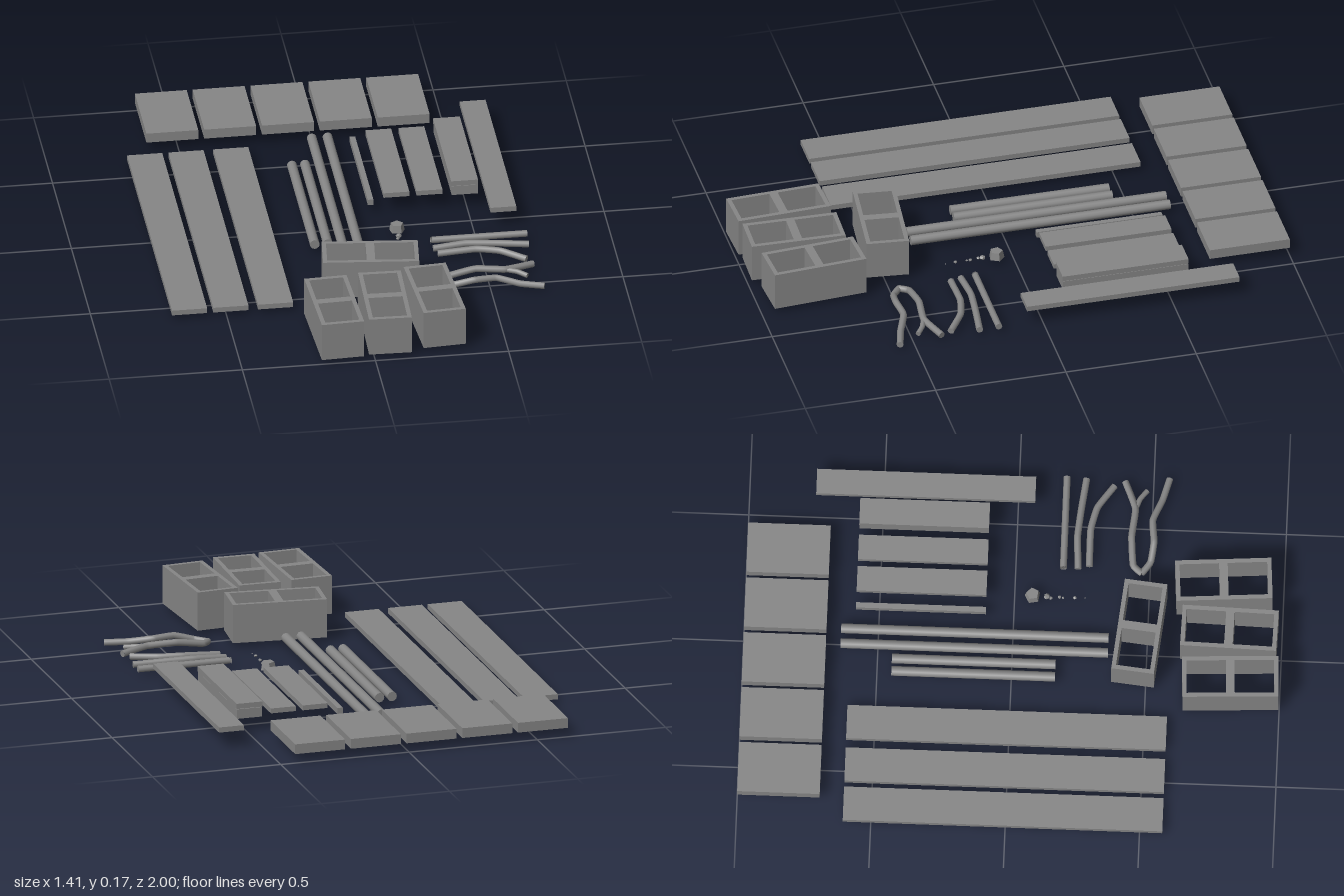
import * as THREE from 'three';

const COLOR = 0x868686;
const mat = new THREE.MeshStandardMaterial({ color: COLOR, flatShading: true });
const smooth = new THREE.MeshStandardMaterial({ color: COLOR });

export function createModel() {
  const model = new THREE.Group();
  const add = (name, geometry, material = mat, parent = model) => {
    const mesh = new THREE.Mesh(geometry, material);
    mesh.name = name;
    parent.add(mesh);
    return mesh;
  };
  // Box given by its extents on each axis
  const box = (name, x0, x1, y0, y1, z0, z1) =>
    add(name, new THREE.BoxGeometry(x1 - x0, y1 - y0, z1 - z0))
      .position.set((x0 + x1) / 2, (y0 + y1) / 2, (z0 + z1) / 2);

  // Row of wide slabs along the back
  for (let i = 0; i < 5; i++) {
    const x = -0.62 + i * 0.2172;
    box('slab', x, x + 0.195, 0.035, 0.073, -1, -0.693);
  }

  // Three long planks
  for (const x of [-0.705, -0.55, -0.382]) box('longPlank', x, x + 0.132, 0.017, 0.037, -0.604, 0.585);

  // Round poles, two short and two long
  for (const [x, z0, z1] of [[-0.109, -0.446, 0.163], [-0.06, -0.446, 0.163], [-0.007, -0.639, 0.356], [0.052, -0.639, 0.356]]) {
    const pole = add('pole', new THREE.CylinderGeometry(0.0185, 0.0185, z1 - z0, 12), smooth);
    pole.rotation.x = Math.PI / 2;
    pole.position.set(x, 0.037, (z0 + z1) / 2);
  }

  // Short boards, a thin batten, a stacked pair and a side plank
  box('batten', 0.128, 0.149, 0.037, 0.06, -0.587, -0.104);
  box('shortBoard', 0.187, 0.284, 0.064, 0.083, -0.587, -0.104);
  box('shortBoard', 0.311, 0.408, 0.064, 0.083, -0.587, -0.104);
  box('stackBase', 0.443, 0.541, 0.055, 0.092, -0.586, -0.105);
  box('stackTop', 0.441, 0.542, 0.094, 0.114, -0.587, -0.104);
  box('sidePlank', 0.565, 0.662, 0.064, 0.084, -0.752, 0.063);

  // Hollow blocks with two open cells
  const W = 0.08, L = 0.179, T = 0.016, WEB = 0.016;
  const rect = (Type, x0, x1, y0, y1) => {
    const s = new Type();
    s.moveTo(x0, y0);
    s.lineTo(x1, y0);
    s.lineTo(x1, y1);
    s.lineTo(x0, y1);
    s.closePath();
    return s;
  };
  const outline = rect(THREE.Shape, -W, W, -L, L);
  outline.holes.push(rect(THREE.Path, -W + T, W - T, WEB, L - T), rect(THREE.Path, -W + T, W - T, -L + T, -WEB));
  const blockGeometry = new THREE.ExtrudeGeometry(outline, { depth: 0.149, bevelEnabled: false });
  blockGeometry.rotateX(-Math.PI / 2);
  for (const [x, z, turn] of [[-0.129, 0.816, 0.044], [0.063, 0.805, -0.026], [0.254, 0.777, 0.07], [0.056, 0.47, 1.467]]) {
    const block = add('hollowBlock', blockGeometry);
    block.position.set(x, 0.017, z);
    block.rotation.y = turn;
  }

  // Sticks with tight bends: tubes with capped ends
  const stick = (name, r, points) => {
    const pts = points.map(p => new THREE.Vector3(...p));
    const curve = new THREE.CatmullRomCurve3(pts, false, 'catmullrom', 0.2);
    const group = new THREE.Group();
    group.name = name;
    model.add(group);
    add('bark', new THREE.TubeGeometry(curve, 40, r, 8), smooth, group);
    for (const t of [0, 1]) {
      const cap = add('end', new THREE.CircleGeometry(r, 8), mat, group);
      cap.position.copy(curve.getPoint(t));
      cap.lookAt(cap.position.clone().addScaledVector(curve.getTangent(t), t ? 1 : -1));
    }
  };
  stick('straightStick', 0.013, [[0.323, 0.03, 0.177], [0.686, 0.03, 0.177]]);
  stick('stick', 0.013, [[0.326, 0.025, 0.232], [0.45, 0.033, 0.225], [0.56, 0.03, 0.235], [0.682, 0.025, 0.25]]);
  stick('stick', 0.013, [[0.337, 0.025, 0.273], [0.48, 0.033, 0.273], [0.57, 0.03, 0.295], [0.659, 0.022, 0.355]]);
  stick('forkedStick', 0.013, [[0.32, 0.014, 0.47], [0.35, 0.018, 0.436], [0.457, 0.036, 0.426], [0.57, 0.03, 0.436], [0.678, 0.022, 0.394]]);
  stick('fork', 0.01, [[0.56, 0.03, 0.434], [0.61, 0.026, 0.452], [0.645, 0.02, 0.477]]);
  stick('bentStick', 0.013, [[0.32, 0.013, 0.468], [0.365, 0.017, 0.5], [0.44, 0.036, 0.51], [0.525, 0.034, 0.502], [0.61, 0.021, 0.535], [0.697, 0.018, 0.559]]);

  // One squarish rock, then a trail of shrinking pebbles
  const rock = add('rock', new THREE.CylinderGeometry(0.024, 0.03, 0.03, 5));
  rock.position.set(0.213, 0.033, 0.067);
  rock.rotation.y = 0.5;
  for (const [x, z, r] of [[0.212, 0.12, 0.012], [0.207, 0.135, 0.007], [0.212, 0.167, 0.007], [0.21, 0.18, 0.005], [0.212, 0.224, 0.007], [0.213, 0.262, 0.003]]) {
    const pebble = add('pebble', new THREE.DodecahedronGeometry(r, 0));
    pebble.scale.y = 0.7;
    pebble.position.set(x, 0.018 + r * 0.6, z);
    pebble.rotation.y = z * 20;
  }
  return model;
}
